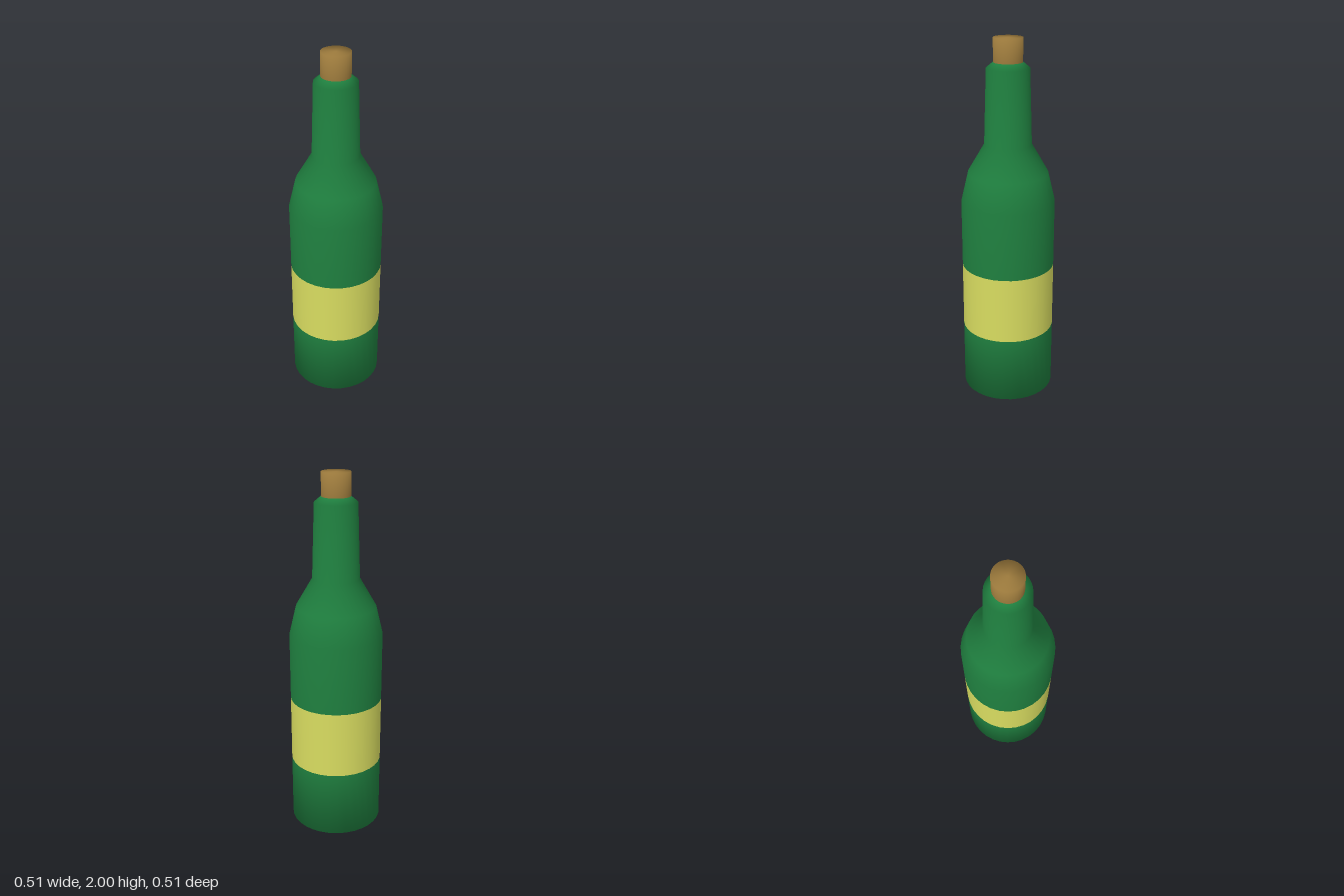
import * as THREE from 'three';

const SIDES = 32;

// Smooth turned part from [radius, height] pairs, listed bottom to top
function turned(name, color, profile) {
  const points = profile.map(([r, y]) => new THREE.Vector2(r, y));
  const mesh = new THREE.Mesh(
    new THREE.LatheGeometry(points, SIDES),
    new THREE.MeshStandardMaterial({ color })
  );
  mesh.name = name;
  return mesh;
}

export function createModel() {
  const bottle = new THREE.Group();
  bottle.name = 'bottle';

  const green = 0x1f7f3f;
  const R = 0.256;

  bottle.add(
    // closed base up to the label
    turned('base', green, [[0, 0], [R, 0], [R, 0.375]]),
    // label band, flush with the glass
    turned('label', 0xd8dc60, [[R, 0.375], [R, 0.75]]),
    // body, shoulder, tapering neck and rim, closed in to the cork
    turned('shoulderAndNeck', green, [
      [R, 0.75], [R, 1.125], [0.218, 1.285], [0.128, 1.44],
      [0.115, 1.845], [0.078, 1.875],
    ]),
    // cork standing out of the neck
    turned('cork', 0x9c7a3c, [[0.078, 1.875], [0.078, 2], [0, 2]])
  );
  return bottle;
}
